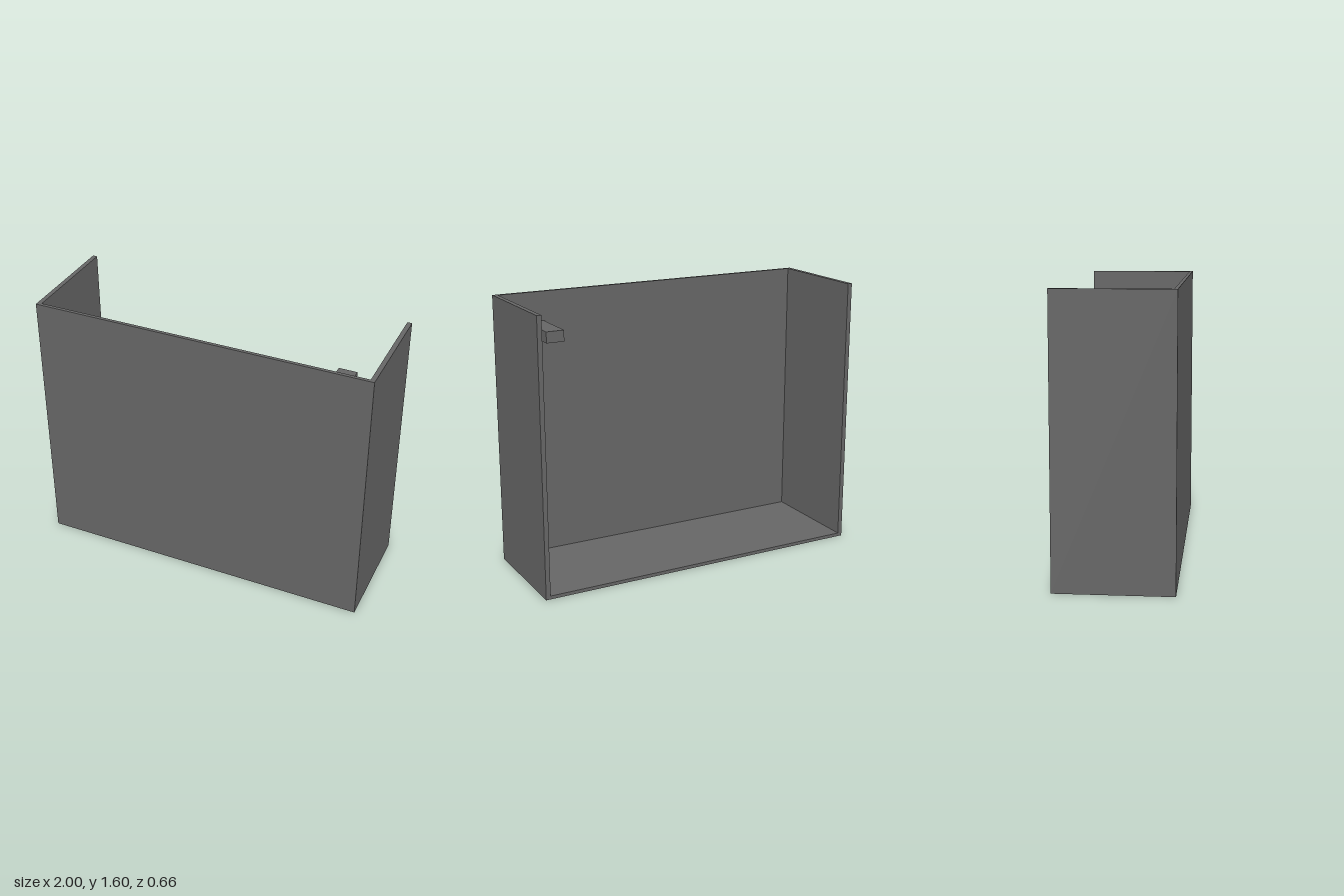
import * as THREE from 'three';

export function createModel() {
  const model = new THREE.Group();
  model.name = 'openCabinet';
  const grey = new THREE.MeshStandardMaterial({ color: 0x666666 });
  grey.name = 'grey';

  // Box given by its minimum and maximum corners
  function addBox(name, min, max) {
    const size = max.map((v, i) => v - min[i]);
    const mesh = new THREE.Mesh(new THREE.BoxGeometry(...size), grey);
    mesh.position.set(...max.map((v, i) => (v + min[i]) / 2));
    mesh.name = name;
    model.add(mesh);
  }

  const W = 1, H = 1.6, D = 0.33; // half width, height, half depth
  const side = 0.027, panel = 0.02; // wall thicknesses
  const inner = W - side;

  // Side walls
  addBox('leftWall', [inner, 0, -D], [W, H, D]);
  addBox('rightWall', [-W, 0, -D], [-inner, H, D]);

  // Front panel and floor between the side walls
  addBox('frontPanel', [-inner, 0, D - panel], [inner, H, D]);
  addBox('floor', [-inner, 0, -D], [inner, panel, D - panel]);

  // Small bar projecting inward from the front panel
  addBox('innerBar', [0.705, 1.365, 0.01], [0.812, 1.43, D - panel]);

  return model;
}
